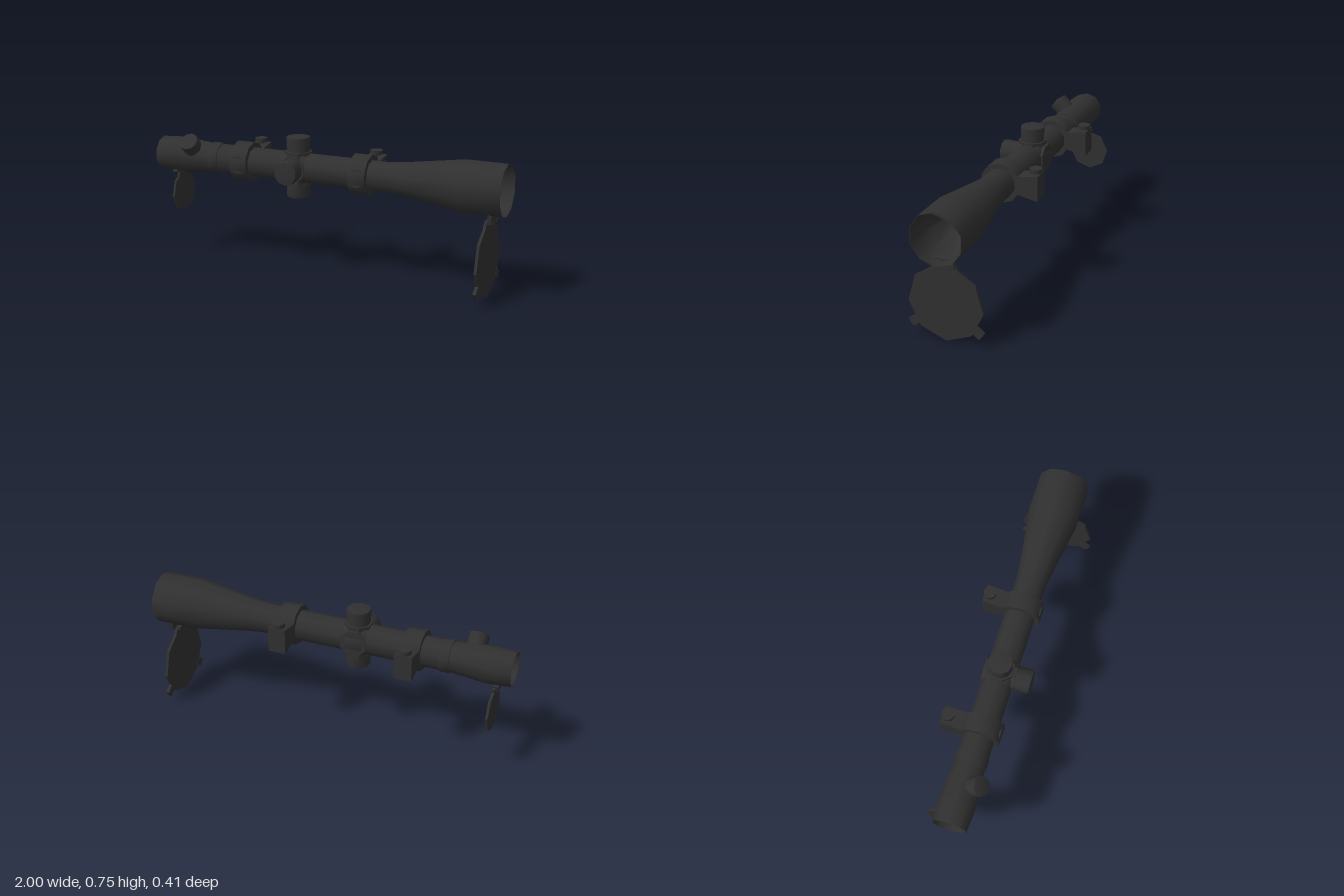
import * as THREE from 'three';
import { toCreasedNormals } from 'three/addons/utils/BufferGeometryUtils.js';

const CY = 0.58, CZ = 0.005; // optical axis
const H = Math.PI / 2;

export function createModel() {
  const root = new THREE.Group();
  const black = new THREE.MeshStandardMaterial({ color: 0x303030, side: THREE.DoubleSide });
  black.name = 'matteBlack';

  function add(name, geo, x = 0, y = CY, z = CZ, parent = root) {
    const m = new THREE.Mesh(toCreasedNormals(geo, 0.7), black);
    m.name = name;
    m.position.set(x, y, z);
    parent.add(m);
    return m;
  }
  // Revolve [x, radius] pairs around the x axis, with a corner at the top
  function turned(pts, sides = 10) {
    return new THREE.LatheGeometry(pts.map(([x, r]) => new THREE.Vector2(r, x)), sides)
      .rotateZ(-H).rotateX(-H);
  }
  // Flat plate in the zy plane, extruded along x and centred on it
  function plate(pts, depth) {
    const s = new THREE.Shape(pts.map(([z, y]) => new THREE.Vector2(-z, y)));
    return new THREE.ExtrudeGeometry(s, { depth, bevelEnabled: false })
      .translate(0, 0, -depth / 2).rotateY(H);
  }

  // Main tube, open at both ends with recessed lenses
  add('tube', turned([
    [-0.9, 0], [-0.9, 0.078], [-1, 0.088], [-1, 0.091], [-0.9, 0.098], [-0.86, 0.098],
    [-0.68, 0.082], [0.37, 0.082], [0.45, 0.09], [0.78, 0.14], [1, 0.14],
    [1, 0.137], [0.8, 0.134], [0.72, 0.083], [0.72, 0],
  ]));
  add('zoomRing', turned([[-0.675, 0.08], [-0.675, 0.088], [-0.62, 0.088], [-0.62, 0.08]]));

  // Small reflective facet inside the objective
  add('lensFacet', plate([[0, 0], [0.125, 0.04], [0.08, 0.105]], 0.004), 0.81);

  // Knob profile, rising along y from the tube axis
  const knobGeo = (r, base, top, dome) => new THREE.LatheGeometry([
    [0, base], [r * 0.92, base], [r, top - 0.012 - dome], [r * 0.96, top - dome], [0, top],
  ].map(([a, b]) => new THREE.Vector2(a, b)), 10);

  // Turret saddle and its three knobs
  add('saddleVertical', new THREE.CylinderGeometry(0.075, 0.075, 0.18, 8).rotateY(Math.PI / 8), -0.158);
  add('saddleCross', new THREE.CylinderGeometry(0.075, 0.075, 0.17, 8).rotateY(Math.PI / 8).rotateX(H), -0.158);
  add('saddleCollar', turned([[-0.07, 0.08], [-0.045, 0.092], [0.045, 0.092], [0.07, 0.08]]), -0.158);
  [['topTurret', 0], ['frontTurret', H], ['bottomTurret', Math.PI]].forEach(([name, a]) => {
    add(name, knobGeo(0.066, 0.06, a === Math.PI ? 0.167 : 0.175, 0.008), -0.158).rotation.x = a;
  });

  // Angled illumination knob on the eyepiece
  add('eyepieceKnob', knobGeo(0.054, 0.03, 0.152, 0.01), -0.78).rotation.x = Math.PI / 4;

  // Mount rings with flared clamp blocks behind
  for (const x of [-0.475, 0.22]) {
    const mount = new THREE.Group();
    mount.name = 'mount';
    mount.position.set(x, CY, CZ);
    root.add(mount);
    add('ring', turned([[-0.049, 0.08], [-0.049, 0.11], [0.049, 0.11], [0.049, 0.08]]), 0, 0, 0, mount);
    add('clampBlock', plate([[-0.07, 0.045], [-0.205, 0.068], [-0.205, -0.07], [-0.07, -0.045]], 0.096), 0, 0, 0, mount);
    add('ringScrew', new THREE.CylinderGeometry(0.05, 0.05, 0.03, 10).rotateX(H), 0, 0, 0.088, mount);
    add('clampScrew', new THREE.CylinderGeometry(0.034, 0.034, 0.022, 10), 0, 0.083, -0.177, mount);
    add('clampStem', new THREE.CylinderGeometry(0.014, 0.014, 0.04, 8), 0, 0.06, -0.177, mount);
  }

  // Objective cap hanging open below the front rim
  const half = [[0.135, 0.055], [0.2, 0.185], [0.16, 0.325], [0.07, 0.385]];
  const outline = [[0, 0], ...half, [0.06, 0.41],
    [-0.06, 0.41], ...half.slice().reverse().map(([z, y]) => [-z, y])];
  add('objectiveCap', plate(outline, 0.015), 0.908, 0.003);
  for (const s of [-1, 1]) {
    add('capTab', new THREE.BoxGeometry(0.018, 0.045, 0.06), 0.908, 0.083, CZ + s * 0.165)
      .rotation.x = s * 0.66;
  }
  add('objectiveHinge', plate([[0.07, 0.46], [0.062, 0.412], [-0.062, 0.412], [-0.07, 0.46]], 0.022), 0.932, 0);
  add('hingePin', new THREE.BoxGeometry(0.05, 0.014, 0.075), 0.92, 0.412);

  // Eyepiece cap, hanging slightly to the back
  const oct = Array.from({ length: 8 }, (_, i) => {
    const a = 0.08 + i * Math.PI / 4;
    return [-Math.cos(a) * 0.114, Math.sin(a) * 0.114];
  });
  add('eyepieceCap', plate(oct, 0.013), -0.914, 0.35, -0.048);
  add('eyepieceHinge', new THREE.BoxGeometry(0.03, 0.035, 0.07), -0.922, 0.482, -0.012).rotation.x = -0.3;
  add('eyepieceHingeArm', new THREE.BoxGeometry(0.013, 0.07, 0.06), -0.914, 0.45, -0.025).rotation.x = -0.3;

  return root;
}
